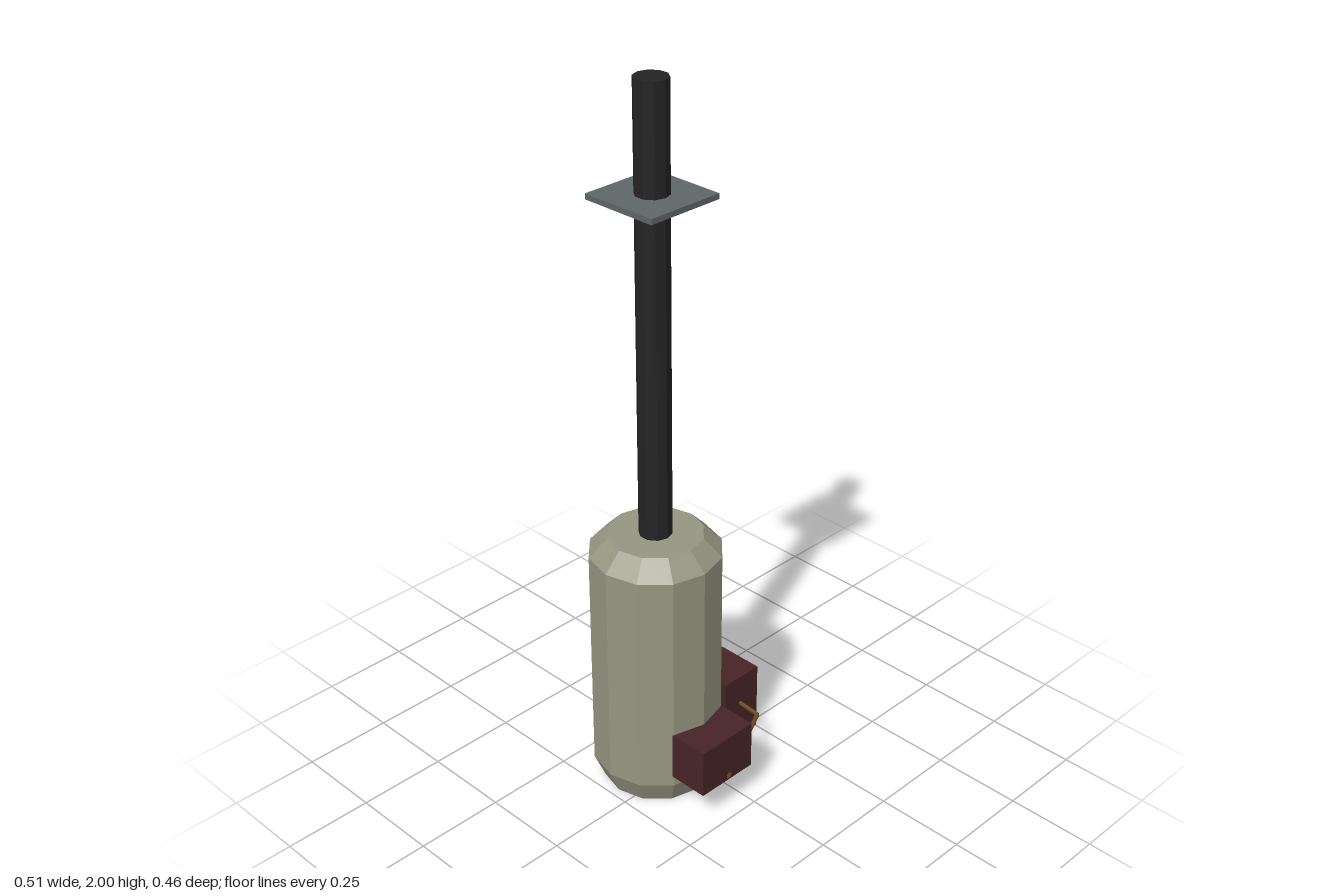
import * as THREE from 'three';

const material = (name, color, flatShading = true) => {
  const m = new THREE.MeshStandardMaterial({ color, flatShading });
  m.name = name;
  return m;
};

export function createModel() {
  const model = new THREE.Group();
  const tankPaint = material('greyGreen', 0x959681);
  const black = material('black', 0x242424);
  const steel = material('steelGrey', 0x5e6668);
  const maroon = material('maroon', 0x472427);
  const brown = material('brown', 0x6b4a20);

  const add = (name, geometry, mat, x, y, z) => {
    const mesh = new THREE.Mesh(geometry, mat);
    mesh.name = name;
    mesh.position.set(x, y, z);
    model.add(mesh);
    return mesh;
  };
  const X = -0.075, Z = -0.05; // vertical axis of tank and pole

  // Twelve-sided tank with chamfered ends
  const profile = [[0, 0], [0.15, 0], [0.18, 0.07], [0.18, 0.72], [0.13, 0.77], [0, 0.77]];
  add('tank', new THREE.LatheGeometry(profile.map(p => new THREE.Vector2(...p)), 12), tankPaint, X, 0, Z);

  // Pole and the square plate around it
  add('pole', new THREE.CylinderGeometry(0.045, 0.045, 1.24, 10), black, X, 1.38, Z);
  add('plate', new THREE.BoxGeometry(0.225, 0.015, 0.225), steel, X, 1.705, Z);

  // Control box on the tank and standing box beside it
  add('controlBox', new THREE.BoxGeometry(0.186, 0.14, 0.118), maroon, X, 0.17, 0.159);
  add('sideBox', new THREE.BoxGeometry(0.129, 0.205, 0.14), maroon, 0.1895, 0.1025, -0.05);

  // Bent pipe joining the two boxes
  const points = [[-0.075, 0.115, 0.221], [0.179, 0.115, 0.092], [0.186, 0.115, 0]]
    .map(p => new THREE.Vector3(...p));
  for (let i = 0; i < 2; i++) {
    const dir = points[i + 1].clone().sub(points[i]);
    const mid = points[i].clone().addScaledVector(dir, 0.5);
    const pipe = add('pipe' + (i + 1), new THREE.CylinderGeometry(0.006, 0.006, dir.length(), 6), brown, mid.x, mid.y, mid.z);
    pipe.quaternion.setFromUnitVectors(new THREE.Vector3(0, 1, 0), dir.normalize());
  }
  return model;
}
